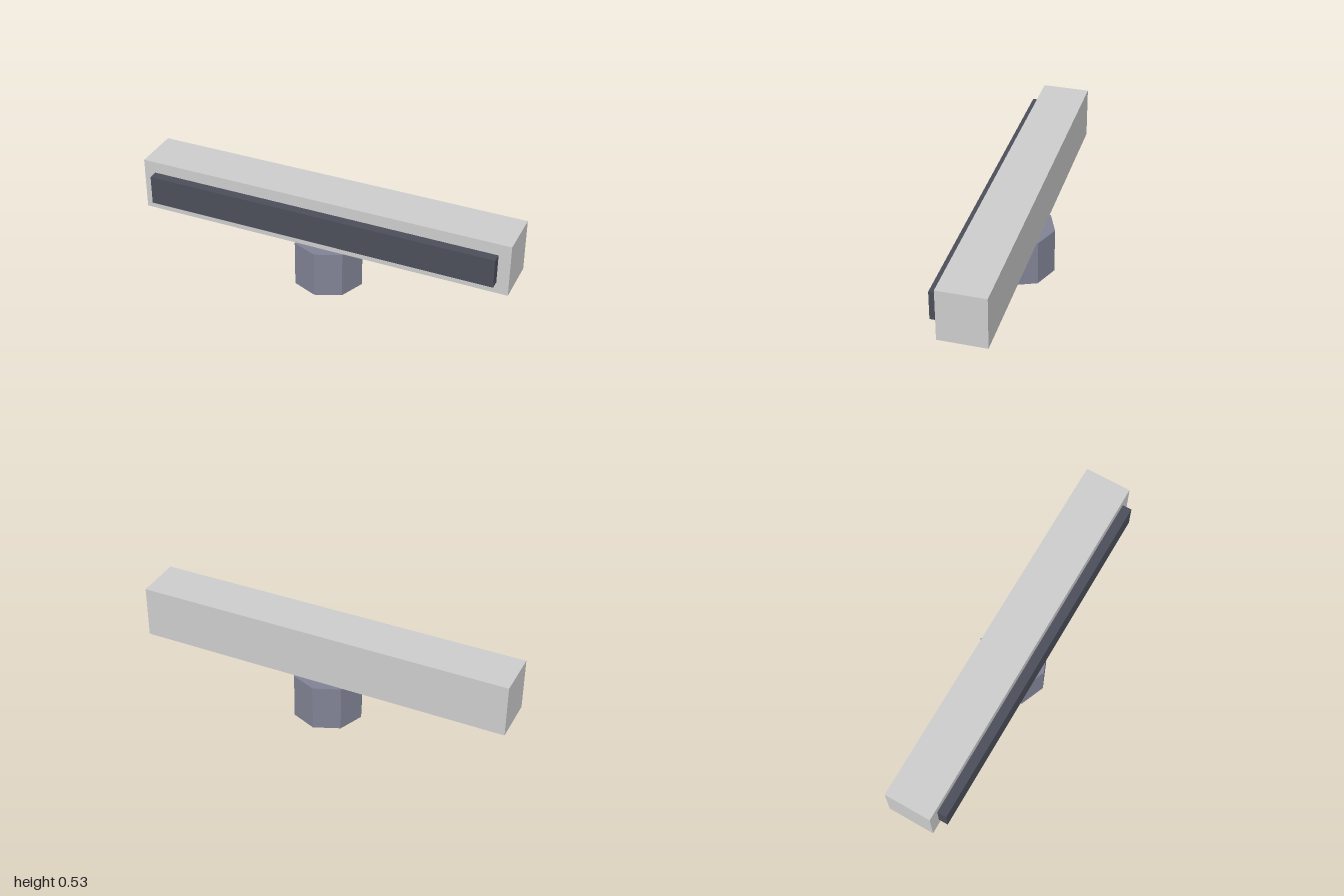
import * as THREE from 'three';

export function createModel() {
  const model = new THREE.Group();
  const makeMaterial = (name, color) => {
    const material = new THREE.MeshStandardMaterial({ color });
    material.name = name;
    return material;
  };
  const lightGrey = makeMaterial('light grey', 0xcccccc);
  const charcoal = makeMaterial('charcoal', 0x4b4e59);
  const slate = makeMaterial('slate', 0x808294);
  slate.flatShading = true;

  const addPart = (name, geometry, material, y, z = 0) => {
    const mesh = new THREE.Mesh(geometry, material);
    mesh.name = name;
    mesh.position.set(0, y, z);
    model.add(mesh);
  };

  // Eight-sided foot with corners on the axes
  addPart('base', new THREE.CylinderGeometry(0.1875, 0.1875, 0.25, 8), slate, 0.125);

  // Long horizontal housing
  addPart('housing', new THREE.BoxGeometry(2, 0.28125, 0.25), lightGrey, 0.390625);

  // Raised panel on the front of the housing
  addPart('frontPanel', new THREE.BoxGeometry(1.875, 0.15625, 0.05), charcoal, 0.390625, 0.15);

  return model;
}
